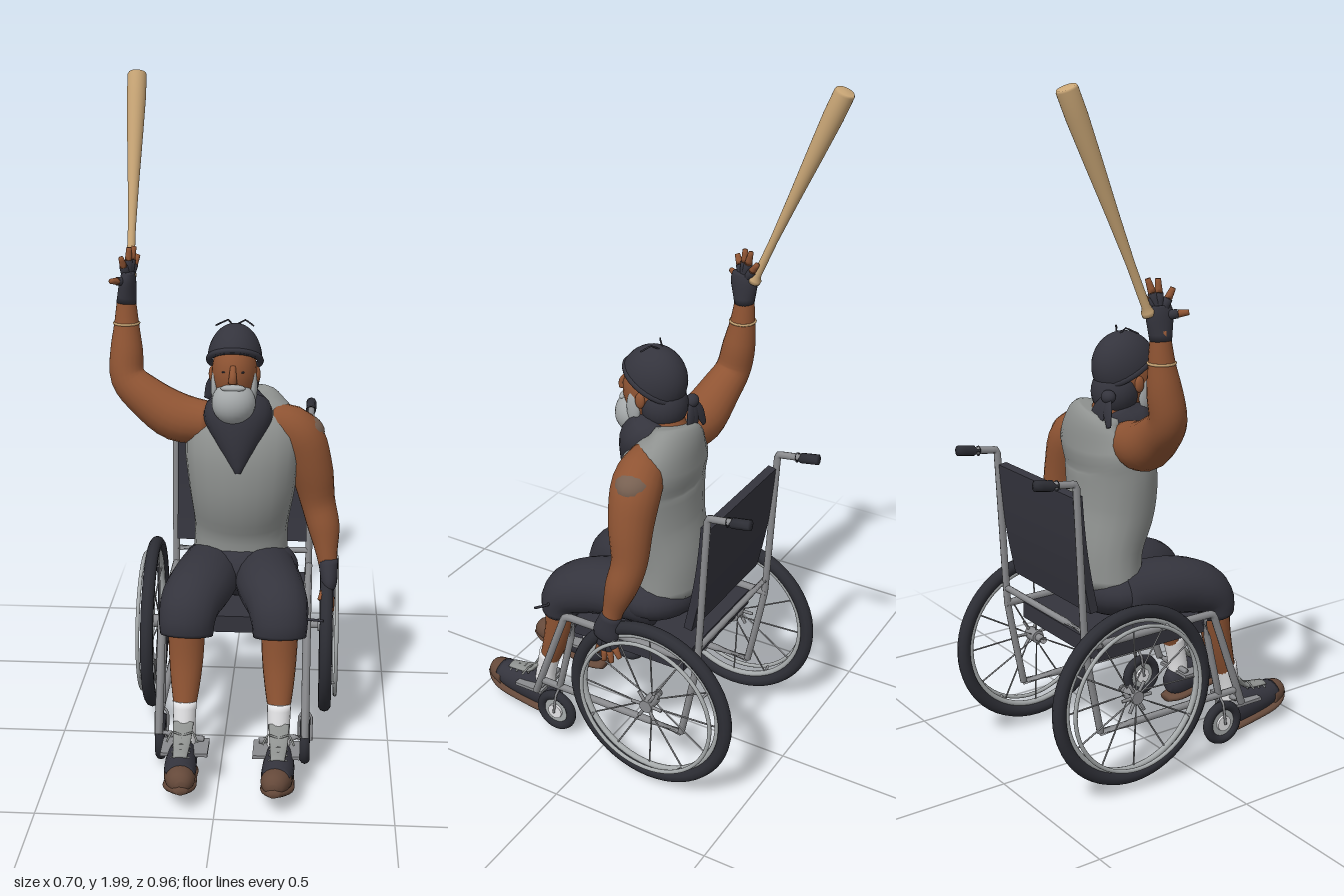
import * as THREE from 'three';

const V = (x, y, z) => new THREE.Vector3(x, y, z);
const MID = 0.035; // centre line of chair and hips

function mat(name, color) {
  const m = new THREE.MeshStandardMaterial({ color });
  m.name = name;
  return m;
}

// Smooth closed body through sections [x, y, z, radiusA, radiusB]; radiusA lies along ref
function loftGeometry(sections, ref = V(1, 0, 0), sides = 20, steps = 4, tension = 0.5) {
  const make = f => new THREE.CatmullRomCurve3(sections.map(f), false, 'catmullrom', tension);
  const path = make(s => V(s[0], s[1], s[2]));
  const radii = make(s => V(s[3], s[4] ?? s[3], 0));
  const rings = (sections.length - 1) * steps;
  const pos = [], idx = [];
  for (let i = 0; i <= rings; i++) {
    const c = path.getPoint(i / rings), r = radii.getPoint(i / rings), t = path.getTangent(i / rings);
    const s = ref.clone().addScaledVector(t, -ref.dot(t)).normalize();
    const n = t.clone().cross(s);
    for (let j = 0; j < sides; j++) {
      const a = j / sides * Math.PI * 2;
      const p = c.clone().addScaledVector(s, r.x * Math.cos(a)).addScaledVector(n, r.y * Math.sin(a));
      pos.push(p.x, p.y, p.z);
    }
  }
  for (let i = 0; i < rings; i++) for (let j = 0; j < sides; j++) {
    const k = (j + 1) % sides, a = i * sides + j, b = i * sides + k, c = b + sides, d = a + sides;
    idx.push(a, b, c, a, c, d);
  }
  const first = pos.length / 3, top = rings * sides;
  pos.push(...path.getPoint(0).toArray(), ...path.getPoint(1).toArray());
  for (let j = 0; j < sides; j++) {
    const k = (j + 1) % sides;
    idx.push(first, k, j, first + 1, top + j, top + k);
  }
  const g = new THREE.BufferGeometry();
  g.setAttribute('position', new THREE.Float32BufferAttribute(pos, 3));
  g.setIndex(idx);
  g.computeVertexNormals();
  return g;
}

export function createModel() {
  const skin = mat('skin', 0x8f5433), cloth = mat('dark cloth', 0x34343d), shirt = mat('grey shirt', 0x8f9290);
  const light = mat('light grey', 0xa6aaab), wood = mat('bat wood', 0xc9a676), metal = mat('metal', 0x8a8b8e);
  const rubber = mat('rubber', 0x2d2e35), white = mat('white sock', 0xe4e4e6), sole = mat('brown sole', 0x65493a);
  const faded = mat('faded skin', 0x776051);
  const model = new THREE.Group();
  model.name = 'batterInWheelchair';

  function add(name, geo, m, p = [0, 0, 0], parent = model) {
    const mesh = new THREE.Mesh(geo, m);
    mesh.name = name;
    mesh.position.set(...p);
    parent.add(mesh);
    return mesh;
  }
  const loft = (name, m, sections, ref, parent) => add(name, loftGeometry(sections, ref), m, [0, 0, 0], parent);
  function ball(name, m, p, r) {
    const b = add(name, new THREE.SphereGeometry(1, 24, 16), m, p);
    b.scale.set(...r);
    return b;
  }
  // Round bar through a list of points
  function rod(name, m, r, pts, parent) {
    const d = pts[pts.length - 1].map((v, i) => Math.abs(v - pts[0][i]));
    const ref = d[0] > d[1] && d[0] > d[2] ? V(0, 0, 1) : V(1, 0, 0);
    return add(name, loftGeometry(pts.map(p => [...p, r]), ref, 8, 3, 0.1), m, [0, 0, 0], parent);
  }

  // ---- Wheelchair ----
  function wheel(x, out) {
    const g = new THREE.Group();
    g.name = 'bigWheel';
    g.position.set(x, 0.297, -0.205);
    const ring = (name, m, r, t, dx) => {
      add(name, new THREE.TorusGeometry(r, t, 10, 56), m, [dx, 0, 0], g).rotation.y = Math.PI / 2;
    };
    ring('tyre', rubber, 0.249, 0.02, 0);
    ring('rim', light, 0.226, 0.009, 0);
    ring('handRim', light, 0.216, 0.006, out * 0.032);
    const n = 12;
    for (let i = 0; i < n; i++) {
      const a = i / n * Math.PI * 2, c = Math.cos(a), s = Math.sin(a), side = i % 2 ? 0.015 : -0.015;
      rod('spoke', metal, 0.0025, [[side, 0.015 * c, 0.015 * s], [0, 0.224 * c, 0.224 * s]], g);
      if (i % 2) rod('hubArm', metal, 0.005, [[out * 0.015, 0, 0], [out * 0.018, 0.05 * c, 0.05 * s]], g);
      if (i % 3 === 1) rod('handRimBracket', metal, 0.004, [[0, 0.224 * c, 0.224 * s], [out * 0.032, 0.216 * c, 0.216 * s]], g);
    }
    add('hub', new THREE.CylinderGeometry(0.02, 0.02, 0.05, 16), metal, [0, 0, 0], g).rotation.z = Math.PI / 2;
    model.add(g);
  }
  for (const s of [-1, 1]) {
    const x = MID + s * 0.213;
    wheel(MID + s * 0.27, s);
    rod('axle', metal, 0.012, [[x, 0.297, -0.205], [MID + s * 0.27, 0.297, -0.205]]);
    rod('backPost', metal, 0.011, [[x, 0.18, -0.28], [x, 0.45, -0.33], [x, 0.925, -0.352], [x, 0.937, -0.37], [x, 0.945, -0.43]]);
    rod('pushGrip', rubber, 0.016, [[x, 0.942, -0.415], [x, 0.953, -0.482]]);
    rod('seatRail', metal, 0.012, [[x, 0.45, -0.335], [x, 0.45, 0.105], [x, 0.435, 0.13], [x, 0.13, 0.24]]);
    rod('lowerRail', metal, 0.011, [[x, 0.18, -0.28], [x, 0.18, 0.21]]);
    rod('casterStem', metal, 0.011, [[x, 0.44, 0.09], [x, 0.18, 0.15]]);
    // Caster with fork
    add('casterTyre', new THREE.TorusGeometry(0.054, 0.015, 10, 28), rubber, [x, 0.085, 0.165]).rotation.y = Math.PI / 2;
    add('casterHub', new THREE.CylinderGeometry(0.024, 0.024, 0.026, 16), white, [x, 0.085, 0.165]).rotation.z = Math.PI / 2;
    add('casterDisc', new THREE.CylinderGeometry(0.042, 0.042, 0.01, 20), light, [x, 0.085, 0.165]).rotation.z = Math.PI / 2;
    for (const e of [-1, 1]) rod('casterFork', metal, 0.004, [[x, 0.18, 0.15], [x + e * 0.018, 0.155, 0.155], [x + e * 0.018, 0.085, 0.165]]);
    // Footplate on its bracket
    add('footplate', new THREE.BoxGeometry(0.135, 0.01, 0.098), metal, [MID + s * 0.132, 0.112, 0.283]);
    rod('footplateBar', metal, 0.009, [[x, 0.135, 0.238], [MID + s * 0.08, 0.122, 0.25]]);
  }
  rod('backBar', metal, 0.01, [[MID - 0.21, 0.5, -0.332], [MID + 0.21, 0.5, -0.332]]);
  add('seat', new THREE.BoxGeometry(0.41, 0.05, 0.38), cloth, [MID, 0.42, -0.09]);
  const back = new THREE.BoxGeometry(0.41, 0.35, 0.026, 1, 12, 1), bp = back.attributes.position;
  for (let i = 0; i < bp.count; i++) bp.setZ(i, bp.getZ(i) - 0.008 * Math.cos(bp.getY(i) / 0.35 * Math.PI));
  back.computeVertexNormals();
  add('backrest', back, cloth, [MID, 0.72, -0.316]).rotation.x = -0.14;

  // ---- Torso ----
  loft('tankTop', shirt, [[0.04, 0.55, -0.125, 0.145, 0.105], [0.042, 0.66, -0.12, 0.142, 0.108], [0.045, 0.78, -0.09, 0.158, 0.118],
    [0.047, 0.9, -0.088, 0.172, 0.116], [0.05, 0.975, -0.115, 0.168, 0.1], [0.045, 1.035, -0.135, 0.125, 0.07], [0.037, 1.07, -0.13, 0.08, 0.045]]);
  loft('neck', skin, [[0.035, 1.0, -0.11, 0.075], [0.03, 1.07, -0.09, 0.058], [0.025, 1.15, -0.065, 0.055]]);
  loft('neckScarf', cloth, [[0.04, 0.862, 0.026, 0.01, 0.012], [0.038, 0.935, -0.002, 0.058, 0.05], [0.036, 1.01, -0.038, 0.1, 0.078],
    [0.032, 1.05, -0.075, 0.092, 0.08], [0.03, 1.085, -0.092, 0.062, 0.064]]);

  // ---- Head ----
  ball('head', skin, [0.025, 1.155, -0.04], [0.066, 0.1, 0.083]);
  ball('beard', light, [0.025, 1.072, 0.008], [0.064, 0.064, 0.06]);
  ball('moustache', light, [0.025, 1.122, 0.038], [0.036, 0.011, 0.014]);
  loft('nose', skin, [[0.025, 1.185, 0.034, 0.008], [0.025, 1.158, 0.052, 0.011], [0.025, 1.14, 0.05, 0.013]]);
  for (const s of [-1, 1]) {
    ball('eye', cloth, [0.025 + s * 0.026, 1.168, 0.031], [0.007, 0.003, 0.005]);
    ball('ear', skin, [0.025 + s * 0.066, 1.145, -0.045], [0.01, 0.024, 0.015]);
    ball('sideburn', light, [0.025 + s * 0.056, 1.115, -0.018], [0.012, 0.05, 0.022]);
  }
  const cap = add('headBandana', new THREE.SphereGeometry(1, 28, 14, 0, Math.PI * 2, 0, Math.PI * 0.53), cloth, [0.025, 1.188, -0.052]);
  cap.scale.set(0.08, 0.106, 0.1);
  cap.rotation.x = -0.5;
  const band = add('bandanaBand', new THREE.TorusGeometry(0.075, 0.01, 8, 32), cloth, [0.025, 1.186, -0.051]);
  band.scale.y = 1.22;
  band.rotation.x = Math.PI / 2 - 0.5;
  ball('bandanaBack', cloth, [0.025, 1.12, -0.085], [0.071, 0.075, 0.07]);
  ball('bandanaKnot', cloth, [-0.03, 1.12, -0.145], [0.024, 0.02, 0.02]);
  for (const [x, y] of [[-0.065, 1.04], [-0.01, 1.02], [0.03, 1.04]])
    loft('bandanaTail', cloth, [[-0.03, 1.125, -0.145, 0.01, 0.005], [(x - 0.03) / 2, 1.085, -0.16, 0.02, 0.006], [x, y, -0.168, 0.01, 0.004]]);
  for (const s of [-1, 1])
    rod('looseThread', cloth, 0.0025, [[0.02, 1.28, -0.08], [0.03 + s * 0.025, 1.303, -0.06], [0.025 + s * 0.055, 1.29, -0.04]]);

  // ---- Arms and hands ----
  const Z = V(0, 0, 1);
  loft('rightArm', skin, [[-0.04, 0.985, -0.09, 0.06], [-0.15, 0.997, -0.105, 0.073], [-0.245, 1.055, -0.12, 0.062], [-0.3, 1.11, -0.135, 0.053],
    [-0.305, 1.19, -0.15, 0.049], [-0.305, 1.27, -0.16, 0.037], [-0.305, 1.36, -0.165, 0.026]], Z);
  loft('leftArm', skin, [[0.11, 1.0, -0.09, 0.05], [0.205, 0.955, -0.106, 0.073], [0.25, 0.85, -0.112, 0.066], [0.273, 0.74, -0.12, 0.053],
    [0.293, 0.66, -0.105, 0.048], [0.303, 0.585, -0.085, 0.033], [0.31, 0.53, -0.075, 0.026]], Z);
  ball('shoulderPatch', faded, [0.21, 0.957, -0.11], [0.081, 0.058, 0.062]);
  add('bracelet', new THREE.TorusGeometry(0.037, 0.004, 6, 24), wood, [-0.305, 1.27, -0.16]).rotation.x = Math.PI / 2;

  function hand(name, wrist, palm, tips) {
    const g = new THREE.Group();
    g.name = name;
    model.add(g);
    const end = palm.map((v, i) => v + (v - wrist[i]) * 0.45);
    loft('glove', cloth, [[...wrist, 0.03], [...palm, 0.042, 0.025], [...end, 0.036, 0.018]], Z, g);
    for (const t of tips) {
      const half = palm.map((v, i) => v + (t[i] - v) * 0.62);
      loft('gloveFinger', cloth, [[...palm, 0.014], [...half, 0.0125]], Z, g);
      loft('finger', skin, [[...half, 0.011], [...t, 0.0075]], Z, g);
    }
  }
  hand('rightHand', [-0.305, 1.33, -0.163], [-0.3, 1.395, -0.163],
    [[-0.342, 1.405, -0.098], [-0.315, 1.47, -0.13], [-0.295, 1.495, -0.165], [-0.283, 1.495, -0.19], [-0.275, 1.465, -0.215]]);
  hand('leftHand', [0.308, 0.565, -0.08], [0.312, 0.505, -0.065],
    [[0.285, 0.46, -0.01], [0.32, 0.425, -0.035], [0.322, 0.405, -0.06], [0.32, 0.405, -0.085], [0.315, 0.425, -0.11]]);

  // ---- Bat ----
  const bat = [[0, 0], [0.018, 0], [0.019, 0.012], [0.012, 0.025], [0.012, 0.15], [0.017, 0.29], [0.024, 0.44], [0.029, 0.56], [0.029, 0.632], [0.026, 0.638], [0, 0.639]];
  add('bat', new THREE.LatheGeometry(bat.map(p => new THREE.Vector2(...p)), 28), wood, [-0.297, 1.4, -0.195]).rotation.x = -0.4;

  // ---- Shorts, legs and shoes ----
  ball('shortsSeat', cloth, [0.04, 0.535, -0.1], [0.178, 0.09, 0.13]);
  rod('shortsThread', cloth, 0.004, [[0.22, 0.48, 0.19], [0.255, 0.475, 0.18], [0.295, 0.48, 0.2]]);
  for (const s of [-1, 1]) {
    const at = d => MID + s * d;
    loft('shortsLeg', cloth, [[at(0.075), 0.525, -0.12, 0.095, 0.085], [at(0.1), 0.525, 0.04, 0.098, 0.085], [at(0.125), 0.505, 0.13, 0.09, 0.08],
      [at(0.134), 0.47, 0.172, 0.083, 0.07], [at(0.135), 0.42, 0.183, 0.077, 0.058]]);
    loft('shin', skin, [[at(0.135), 0.46, 0.18, 0.055], [at(0.135), 0.36, 0.195, 0.05, 0.045], [at(0.136), 0.28, 0.215, 0.042, 0.038], [at(0.137), 0.19, 0.245, 0.028]]);
    loft('sock', white, [[at(0.137), 0.1, 0.26, 0.034], [at(0.137), 0.16, 0.252, 0.032], [at(0.137), 0.235, 0.235, 0.035]]);
    loft('shoe', cloth, [[at(0.138), 0.068, 0.215, 0.022, 0.028], [at(0.138), 0.072, 0.245, 0.038, 0.052], [at(0.14), 0.084, 0.31, 0.044, 0.055],
      [at(0.138), 0.09, 0.38, 0.046, 0.044], [at(0.134), 0.096, 0.425, 0.04, 0.034]]);
    loft('toeCap', sole, [[at(0.137), 0.084, 0.402, 0.045, 0.042], [at(0.132), 0.089, 0.437, 0.04, 0.037], [at(0.129), 0.089, 0.46, 0.029, 0.028], [at(0.128), 0.089, 0.472, 0.012, 0.012]]);
    loft('shoeSole', sole, [[at(0.138), 0.02, 0.208, 0.025, 0.012], [at(0.138), 0.024, 0.25, 0.042, 0.016], [at(0.14), 0.037, 0.32, 0.045, 0.018],
      [at(0.138), 0.054, 0.4, 0.048, 0.018], [at(0.132), 0.068, 0.445, 0.038, 0.016], [at(0.128), 0.077, 0.475, 0.016, 0.012]]);
    loft('shoeTongue', shirt, [[at(0.138), 0.185, 0.27, 0.03, 0.007], [at(0.139), 0.145, 0.31, 0.026, 0.008], [at(0.138), 0.132, 0.385, 0.02, 0.007]]);
    for (let i = 0; i < 4; i++) {
      const z = 0.305 + i * 0.023, y = 0.152 - i * 0.005;
      rod('lace', shirt, 0.003, [[at(0.112), y - 0.012, z], [at(0.139), y, z + 0.004], [at(0.165), y - 0.012, z]]);
    }
    for (const e of [-1, 1])
      rod('laceBow', shirt, 0.003, [[at(0.138), 0.157, 0.3], [at(0.138 + e * 0.03), 0.168, 0.3], [at(0.138 + e * 0.045), 0.143, 0.315]]);
  }
  return model;
}
